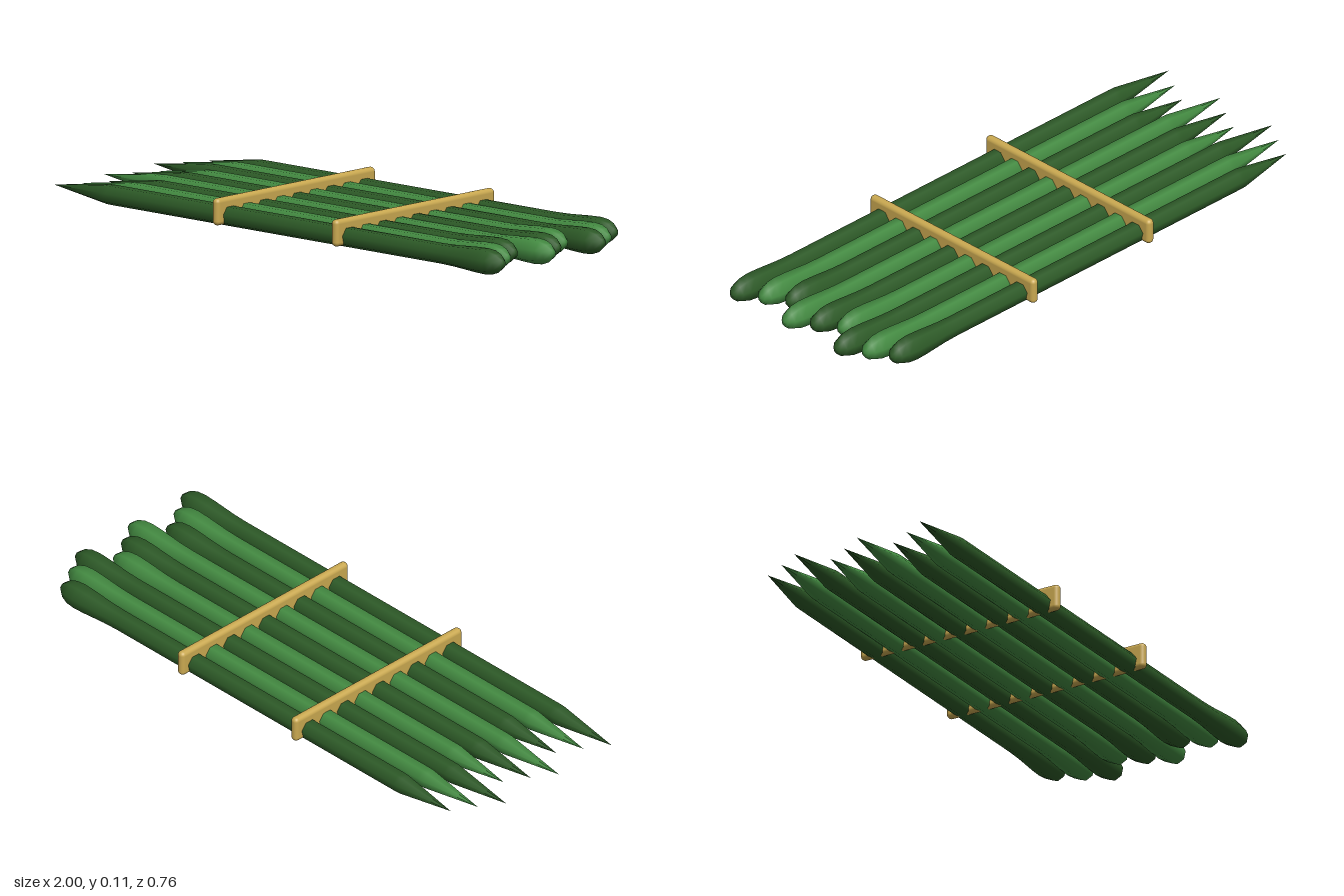
import * as THREE from 'three';
import { RoundedBoxGeometry } from 'three/addons/geometries/RoundedBoxGeometry.js';

const paint = (name, color) => {
  const m = new THREE.MeshStandardMaterial({ color });
  m.name = name;
  return m;
};

// Seven-sided stem along x: sharp point at -x, swollen blunt bud at +x
function stemGeometry(half) {
  const r = 0.0345;
  const profile = [
    [0, -half],
    [r * 0.98, -half * 0.765],
    [r, -half * 0.74],
    [r, half - 0.28],
    [r * 1.05, half - 0.22],
    [0.0425, half - 0.13],
    [0.0442, half - 0.085],
    [0.041, half - 0.05],
    [0.031, half - 0.022],
    [0.015, half - 0.003],
    [0, half],
  ].map(([x, y]) => new THREE.Vector2(x, y));
  const g = new THREE.LatheGeometry(profile, 7, Math.PI / 2);
  g.rotateZ(-Math.PI / 2);
  return g;
}

export function createModel() {
  const model = new THREE.Group();
  model.name = 'stemBundle';
  const darkGreen = paint('darkGreen', 0x2d5a27);
  const lightGreen = paint('lightGreen', 0x438a41);
  const straw = paint('straw', 0xc9a850);

  // Nine stems side by side in three repeating lengths, alternating greens
  const stems = [0.905, 0.95, 1].map(stemGeometry);
  for (let i = 0; i < 9; i++) {
    const stem = new THREE.Mesh(stems[i % 3], i % 2 ? lightGreen : darkGreen);
    stem.name = `stem${i + 1}`;
    stem.position.set(0, 0.0442, (i - 4) * 0.08);
    model.add(stem);
  }

  // Two rounded ties across the row
  const tieGeometry = new RoundedBoxGeometry(0.03, 0.09, 0.76, 3, 0.0145);
  [-0.23, 0.3].forEach((x, i) => {
    const tie = new THREE.Mesh(tieGeometry, straw);
    tie.name = `tie${i + 1}`;
    tie.position.set(x, 0.062, 0);
    model.add(tie);
  });
  return model;
}
